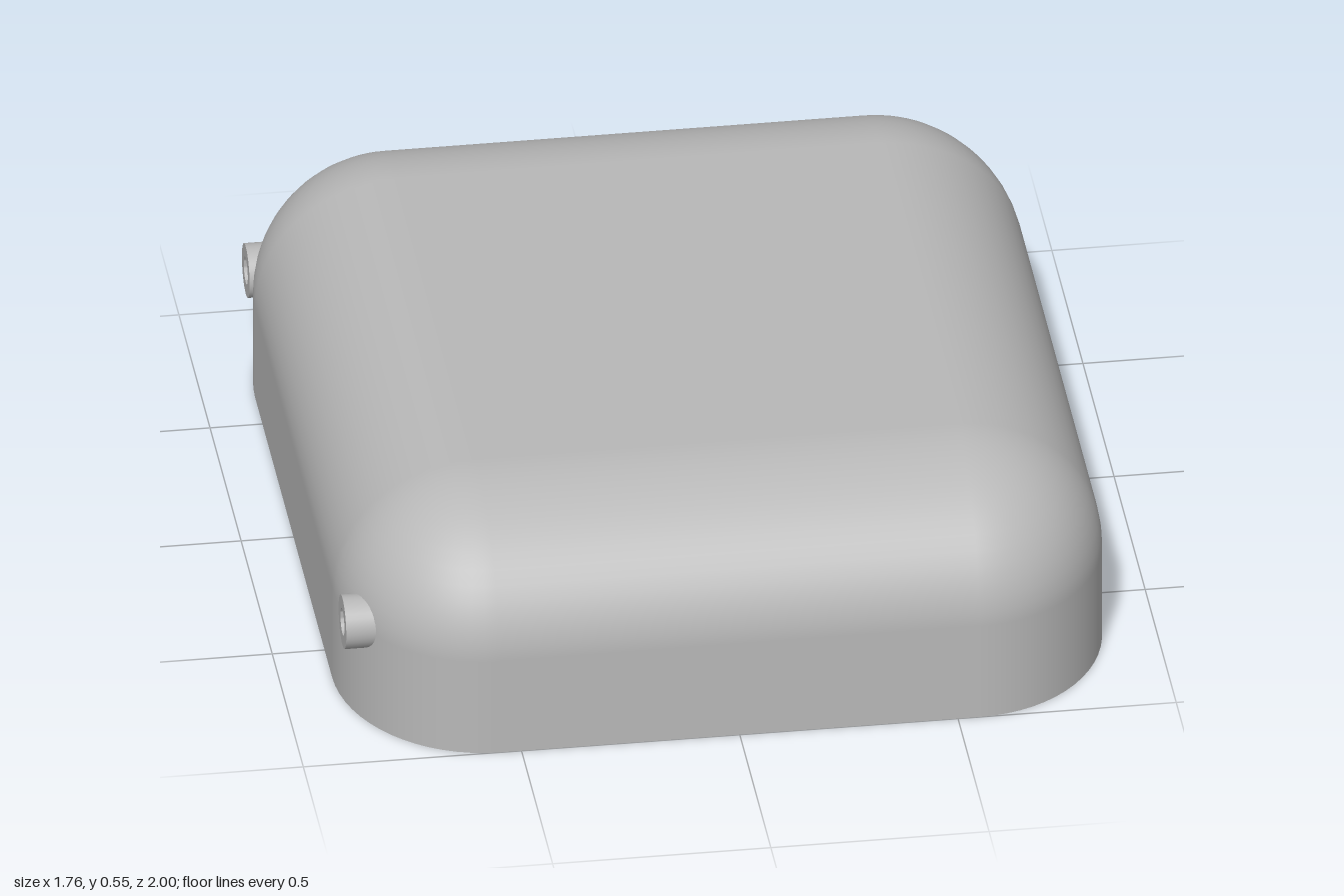
import * as THREE from 'three';
import { toCreasedNormals } from 'three/addons/utils/BufferGeometryUtils.js';

const CORE_X = 0.55, CORE_Z = 0.62, SPRING_Y = 0.24; // flat core of the housing and start of the dome
const WALL = 0.025;
const CORNER = 16, DOME = 14;

// Rounded-rectangle angles: each corner sweeps a quarter turn around its own core point
function planAngles() {
  const list = [];
  for (let q = 0; q < 4; q++) {
    for (let i = 0; i <= CORNER; i++) {
      const sx = q === 0 || q === 3 ? 1 : -1, sz = q < 2 ? 1 : -1;
      list.push({ a: (q + i / CORNER) * Math.PI / 2, sx, sz });
    }
  }
  return list;
}

// Open-bottomed domed skin; inset skins are turned to face inwards
function skin(inset) {
  const rx = 0.33 - inset, ry = 0.31 - inset, rz = 0.38 - inset;
  const angles = planAngles(), n = angles.length;
  const pos = [], nor = [], idx = [], s = inset > 0 ? -1 : 1;
  const ring = (phi, y) => angles.forEach(({ a, sx, sz }) => {
    const c = Math.cos(phi);
    pos.push(sx * CORE_X + rx * c * Math.cos(a), y, sz * CORE_Z + rz * c * Math.sin(a));
    const v = new THREE.Vector3(c * Math.cos(a) / rx, Math.sin(phi) / ry, c * Math.sin(a) / rz);
    v.normalize().multiplyScalar(s);
    nor.push(v.x, v.y, v.z);
  });
  const face = (a, b, c) => (s > 0 ? idx.push(a, b, c) : idx.push(a, c, b));
  ring(0, 0);
  for (let j = 0; j <= DOME; j++) {
    const phi = j / DOME * Math.PI / 2;
    ring(phi, SPRING_Y + ry * Math.sin(phi));
  }
  for (let j = 0; j <= DOME; j++) {
    for (let i = 0; i < n; i++) {
      const k = (i + 1) % n, a = j * n + i, b = j * n + k;
      face(a, a + n, b);
      face(b, a + n, b + n);
    }
  }
  // flat top between the four core corners
  const t = (DOME + 1) * n, m = CORNER + 1;
  face(t, t + 2 * m, t + m);
  face(t, t + 3 * m, t + 2 * m);
  const g = new THREE.BufferGeometry();
  g.setAttribute('position', new THREE.Float32BufferAttribute(pos, 3));
  g.setAttribute('normal', new THREE.Float32BufferAttribute(nor, 3));
  g.setIndex(idx);
  return g;
}

const outline = (inset) => planAngles().map(({ a, sx, sz }) => new THREE.Vector2(
  sx * CORE_X + (0.33 - inset) * Math.cos(a), sz * CORE_Z + (0.38 - inset) * Math.sin(a)));

function circlePath(x, z, r) {
  const p = new THREE.Path();
  p.absarc(x, z, r, 0, Math.PI * 2, false);
  return p;
}

function rectShape(x0, x1, z0, z1) {
  return new THREE.Shape([[x0, z0], [x1, z0], [x1, z1], [x0, z1]].map(p => new THREE.Vector2(...p)));
}

// Extrudes a plan (x, z) shape between two heights
function slab(shape, y0, y1) {
  const g = new THREE.ExtrudeGeometry(shape, { depth: y1 - y0, bevelEnabled: false, curveSegments: 20 });
  g.rotateX(Math.PI / 2).translate(0, y1, 0);
  return toCreasedNormals(g, 0.6);
}

export function createModel() {
  const model = new THREE.Group();
  const grey = new THREE.MeshStandardMaterial({ color: 0xb8b8b8 });
  grey.name = 'grey plastic';
  const add = (name, geometry) => {
    const mesh = new THREE.Mesh(geometry, grey);
    mesh.name = name;
    model.add(mesh);
    return mesh;
  };

  // Housing: outer skin, inner skin and the rim joining them
  add('outerShell', skin(0));
  add('innerShell', skin(WALL));
  const rim = new THREE.Shape(outline(0));
  rim.holes.push(new THREE.Path(outline(WALL)));
  add('rim', new THREE.ShapeGeometry(rim).rotateX(Math.PI / 2));

  // Mounting block hanging from the ceiling, its front following the dome
  const profile = [[0.105, 0.39], [0.105, 0.53], [CORE_Z, 0.535]];
  for (let i = 1; i <= 10; i++) {
    const phi = Math.PI / 2 + (0.102 - Math.PI / 2) * i / 10;
    profile.push([CORE_Z + 0.365 * Math.cos(phi), SPRING_Y + 0.295 * Math.sin(phi)]);
  }
  profile.push([0.93, 0.27], [0.93, 0.39]);
  const body = new THREE.ExtrudeGeometry(
    new THREE.Shape(profile.map(p => new THREE.Vector2(...p))), { depth: 0.83, bevelEnabled: false });
  add('mountingBlock', body.rotateY(-Math.PI / 2).translate(0.57, 0, 0));

  // Lower plate with a recess, notched into two of the six screw holes
  const plate = rectShape(-0.26, 0.57, 0.105, 0.93);
  const holeX = [-0.117, 0.145, 0.408], zBack = 0.285, zFront = 0.805, r = 0.045;
  holeX.forEach(x => plate.holes.push(circlePath(x, zBack, r)));
  plate.holes.push(circlePath(holeX[0], zFront, r));
  const recess = new THREE.Path();
  const half = Math.asin(0.025 / r);
  recess.moveTo(0.5, 0.74);
  recess.lineTo(0.5, 0.35);
  recess.lineTo(-0.05, 0.35);
  recess.lineTo(-0.05, 0.74);
  holeX.slice(1).forEach(x => {
    recess.lineTo(x - 0.025, 0.74);
    recess.absarc(x, zFront, r, -Math.PI / 2 - half, -Math.PI / 2 + half, true);
    recess.lineTo(x + 0.025, 0.74);
  });
  recess.closePath();
  plate.holes.push(recess);
  add('mountingPlate', slab(plate, 0.27, 0.39));

  // Screw lugs at the rim, on the right and back walls
  [[-0.757, -0.043, 0.105, 0.112], [0, -0.88, 0.112, 0.1]].forEach(([x, z, w, d], i) => {
    const lug = rectShape(x - w, x + w, z - d, z + d);
    lug.holes.push(circlePath(x, z, 0.026));
    add(i ? 'backLug' : 'sideLug', slab(lug, 0.001, 0.09));
  });

  // Short tubes through the right-hand corners
  const tube = new THREE.LatheGeometry(
    [[0.032, -0.12], [0.0625, -0.12], [0.0625, 0.12], [0.032, 0.12], [0.032, -0.12]]
      .map(p => new THREE.Vector2(...p)), 32);
  const tubeGeometry = toCreasedNormals(tube.rotateZ(Math.PI / 2), 0.6);
  [['backTube', -0.767], ['frontTube', 0.787]].forEach(([name, z]) => {
    add(name, tubeGeometry).position.set(-0.76, 0.247, z);
  });

  return model;
}
